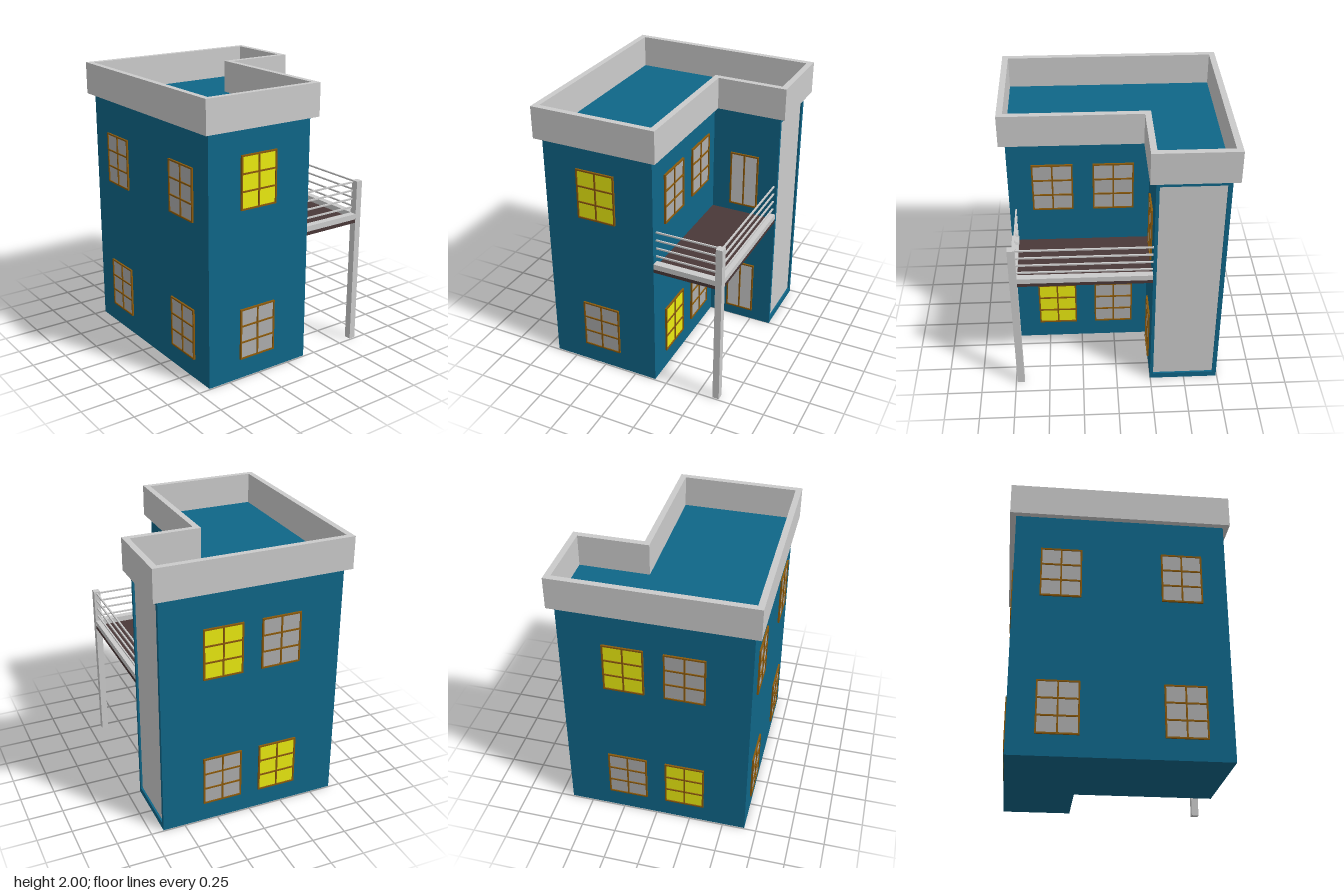
import * as THREE from 'three';

const mat = (color) => new THREE.MeshStandardMaterial({ color });
const GREY = mat(0xcccccc);
const BLUE = mat(0x0f6688);
const FRAME = mat(0x8b5a0c);
const GLASS = mat(0xadadad);
const LIT = mat(0xebeb10);
const DARK = mat(0x4a3838);

// Outline of the building: walls, notch corner and roof height
const W = { x0: -0.662, x1: 0.658, z0: -0.742, z1: 0.74, nx: 0.157, nz: -0.247, top: 1.77 };
const RECESS = 0.018;

function add(parent, name, geometry, material) {
  const mesh = new THREE.Mesh(geometry, material);
  mesh.name = name;
  parent.add(mesh);
  return mesh;
}

// Box given by its two extreme corners
function box(parent, name, material, [x0, y0, z0], [x1, y1, z1]) {
  const mesh = add(parent, name, new THREE.BoxGeometry(x1 - x0, y1 - y0, z1 - z0), material);
  mesh.position.set((x0 + x1) / 2, (y0 + y1) / 2, (z0 + z1) / 2);
  return mesh;
}

// L-shaped floor plan, grown outwards by d; shape y is -z
function plan(d, x1 = W.x1) {
  return [
    [W.x0 - d, W.z0 - d], [W.x0 - d, W.z1 + d], [W.nx + d, W.z1 + d],
    [W.nx + d, W.nz + d], [x1 + d, W.nz + d], [x1 + d, W.z0 - d],
  ].map(([x, z]) => new THREE.Vector2(x, -z));
}

function raise(shape, y0, y1) {
  const g = new THREE.ExtrudeGeometry(shape, { depth: y1 - y0, bevelEnabled: false });
  return g.rotateX(-Math.PI / 2).translate(0, y0, 0);
}

function rect(Type, x0, y0, x1, y1) {
  return new Type([[x0, y0], [x1, y0], [x1, y1], [x0, y1]].map((p) => new THREE.Vector2(...p)));
}

// Framed pane with a grid of openings, facing +z, centred at the bottom edge
function glazing(name, w, h, cols, rows, paneMaterial) {
  const group = new THREE.Group();
  group.name = name;
  const bar = 0.011, depth = 0.013;
  const shape = rect(THREE.Shape, -w / 2, 0, w / 2, h);
  const cw = (w - bar * (cols + 1)) / cols, ch = (h - bar * (rows + 1)) / rows;
  for (let c = 0; c < cols; c++) {
    for (let r = 0; r < rows; r++) {
      const x = -w / 2 + bar + c * (cw + bar), y = bar + r * (ch + bar);
      shape.holes.push(rect(THREE.Path, x, y, x + cw, y + ch));
    }
  }
  add(group, 'frame', new THREE.ExtrudeGeometry(shape, { depth, bevelEnabled: false }), FRAME);
  const pane = add(group, 'pane', new THREE.BoxGeometry(w - bar, h - bar, 0.006), paneMaterial);
  pane.position.set(0, h / 2, 0.003);
  return group;
}

export function createModel() {
  const house = new THREE.Group();
  house.name = 'house';

  // Walls, stopping short on the wing end to leave room for the recess
  const inner = W.x1 - RECESS;
  add(house, 'walls', raise(new THREE.Shape(plan(0, inner)), 0, W.top), BLUE);

  // Wing end wall with its recessed panel
  const endShape = rect(THREE.Shape, -W.nz, 0, -W.z0, W.top);
  endShape.holes.push(rect(THREE.Path, 0.27, 0.045, 0.712, 1.722));
  const endGeo = new THREE.ExtrudeGeometry(endShape, { depth: RECESS, bevelEnabled: false });
  add(house, 'endWallSurround', endGeo.rotateY(Math.PI / 2).translate(inner, 0, 0), BLUE);
  box(house, 'endWallPanel', GREY, [inner - 0.01, 0.045, -0.712], [inner + 0.004, 1.722, -0.27]);

  // Parapet around the flat roof
  const parapet = new THREE.Shape(plan(0.043));
  parapet.holes.push(new THREE.Path(plan(0)));
  add(house, 'parapet', raise(parapet, W.top, 2), GREY);

  // Windows: position, turn about y, lit or not
  const LOW = 0.146, windows = [
    [-0.268, LOW, W.z1, 0, false], [-0.268, 1.222, W.z1, 0, true],
  ];
  for (const [z, lit] of [[0.43, true], [0.005, false]]) {
    windows.push([W.nx, LOW, z, Math.PI / 2, lit], [W.nx, 1.222, z, Math.PI / 2, false]);
  }
  for (const z of [-0.415, 0.425]) {
    for (const y of [LOW, 1.14]) windows.push([W.x0, y, z, -Math.PI / 2, false]);
  }
  for (const [x, litAbove] of [[0.212, true], [-0.21, false]]) {
    windows.push([x, LOW, W.z0, Math.PI, !litAbove], [x, 1.14, W.z0, Math.PI, litAbove]);
  }
  for (const [x, y, z, turn, lit] of windows) {
    const win = glazing('window', 0.287, 0.372, 2, 3, lit ? LIT : GLASS);
    win.position.set(x, y, z);
    win.rotation.y = turn;
    house.add(win);
  }

  // Double doors on the wing, ground floor and balcony
  for (const y of [0.083, 1.013]) {
    const door = glazing('door', 0.216, 0.418, 2, 1, GREY);
    door.position.set(0.403, y, W.nz);
    house.add(door);
  }

  // Balcony: floor, edge beams, corner post and rails
  const balcony = new THREE.Group();
  balcony.name = 'balcony';
  house.add(balcony);
  const px = 0.61, pz = 0.688;
  box(balcony, 'balconyFloor', DARK, [W.nx, 0.926, W.nz], [W.x1 - 0.001, 0.952, W.z1 - 0.001]);
  box(balcony, 'frontBeam', GREY, [W.nx, 0.952, pz], [px, 0.992, W.z1 - 0.001]);
  box(balcony, 'sideBeam', GREY, [px, 0.952, W.nz], [W.x1 - 0.001, 0.992, pz]);
  box(balcony, 'cornerPost', GREY, [px, 0, pz], [W.x1, 1.235, W.z1]);
  for (let i = 0; i < 4; i++) {
    const y = 1.028 + i * 0.0625, t = 0.011;
    box(balcony, 'frontRail', GREY, [W.nx, y, 0.69], [px, y + t, 0.69 + t]);
    box(balcony, 'sideRail', GREY, [0.631, y, W.nz], [0.631 + t, y + t, pz]);
  }
  return house;
}
